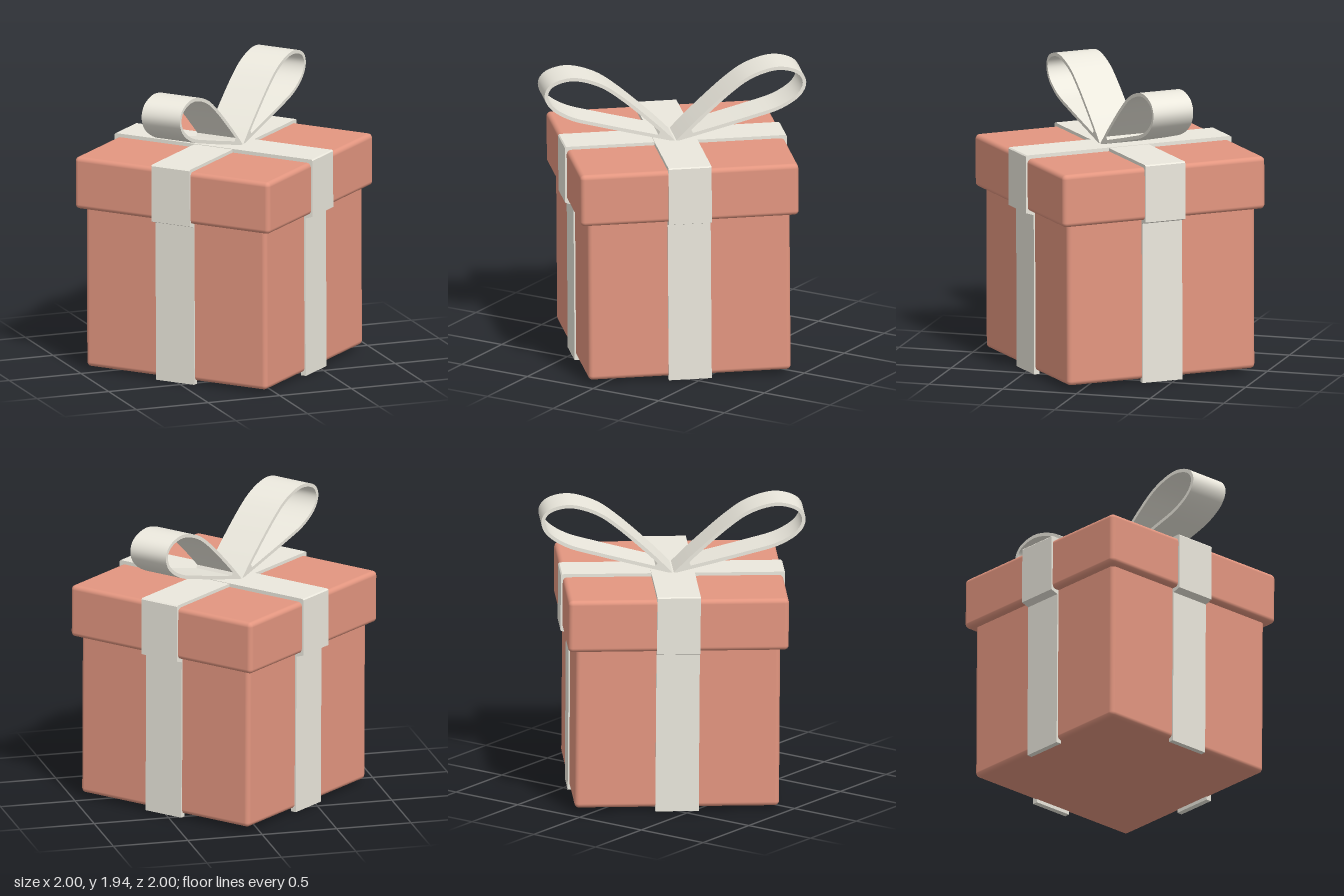
import * as THREE from 'three';
import { RoundedBoxGeometry } from 'three/addons/geometries/RoundedBoxGeometry.js';
import { toCreasedNormals } from 'three/addons/utils/BufferGeometryUtils.js';

const RIBBON_WIDTH = 0.283;
const paper = new THREE.MeshStandardMaterial({ color: 0xe39680 });
const ribbon = new THREE.MeshStandardMaterial({ color: 0xebe8dd });

const vec = ([x, y]) => new THREE.Vector2(x, y);

function roundedBox(name, side, bottom, top) {
  const mesh = new THREE.Mesh(new RoundedBoxGeometry(side, top - bottom, side, 4, 0.03), paper);
  mesh.name = name;
  mesh.position.y = (top + bottom) / 2;
  return mesh;
}

// Extrude a side profile across the ribbon's width, centred on z = 0
function ribbonMesh(name, shape) {
  const geometry = new THREE.ExtrudeGeometry(shape, { depth: RIBBON_WIDTH, bevelEnabled: false });
  geometry.translate(0, 0, -RIBBON_WIDTH / 2);
  const mesh = new THREE.Mesh(toCreasedNormals(geometry, 0.35), ribbon);
  mesh.name = name;
  return mesh;
}

// Band running up one side, over the lid and down the other side
function bandShape(top) {
  const half = [
    [0.64, 0.005], [0.677, 0.005], [0.677, 1.065], [0.731, 1.083],
    [0.731, top - 0.008], [0.723, top],
  ];
  const inner = [[0.64, 1.4]];
  const mirror = (points) => points.map(([x, y]) => [-x, y]).reverse();
  return new THREE.Shape([...half, ...mirror(half), ...mirror(inner), ...inner].map(vec));
}

// Bow loop: a teardrop outline with a hole offset inwards by the ribbon thickness
function loopShape() {
  const path = [
    [0, 1.462], [0.14, 1.6], [0.35, 1.785], [0.5, 1.885], [0.67, 1.932], [0.81, 1.9],
    [0.862, 1.82], [0.82, 1.725], [0.69, 1.643], [0.5, 1.587], [0.26, 1.525], [0, 1.46],
  ];
  const curve = new THREE.SplineCurve(path.map(vec));
  const outer = [];
  const hole = [];
  const steps = 64;
  for (let i = 0; i <= steps; i++) {
    const p = curve.getPoint(i / steps);
    const t = curve.getTangent(i / steps);
    outer.push(p);
    const q = new THREE.Vector2(p.x + t.y * 0.023, p.y - t.x * 0.023);
    if (q.x > 0.1) hole.push(q);
  }
  // Outline anticlockwise, hole clockwise, so both walls face outwards
  const shape = new THREE.Shape(outer.reverse());
  shape.holes.push(new THREE.Path(hole));
  return shape;
}

export function createModel() {
  const model = new THREE.Group();
  model.name = 'giftBox';

  // Box and overhanging lid
  model.add(roundedBox('boxBody', 1.334, 0.028, 1.2));
  model.add(roundedBox('lid', 1.438, 1.095, 1.443));

  // Two crossing ribbon bands
  const bandAcross = ribbonMesh('ribbonBandAcross', bandShape(1.464));
  const bandAlong = ribbonMesh('ribbonBandAlong', bandShape(1.467));
  bandAlong.rotation.y = Math.PI / 2;
  model.add(bandAcross, bandAlong);

  // Bow with two mirrored loops
  const bow = new THREE.Group();
  bow.name = 'bow';
  for (const [name, turn] of [['bowLoopLeft', 0], ['bowLoopRight', Math.PI]]) {
    const loop = ribbonMesh(name, loopShape());
    loop.rotation.y = turn;
    bow.add(loop);
  }
  model.add(bow);

  // Turned towards a corner, with a very slight lean
  model.rotation.set(0, 0.705, 0.007);
  model.position.set(0.005, 0, -0.004);
  const root = new THREE.Group();
  root.name = 'gift';
  root.add(model);
  return root;
}
